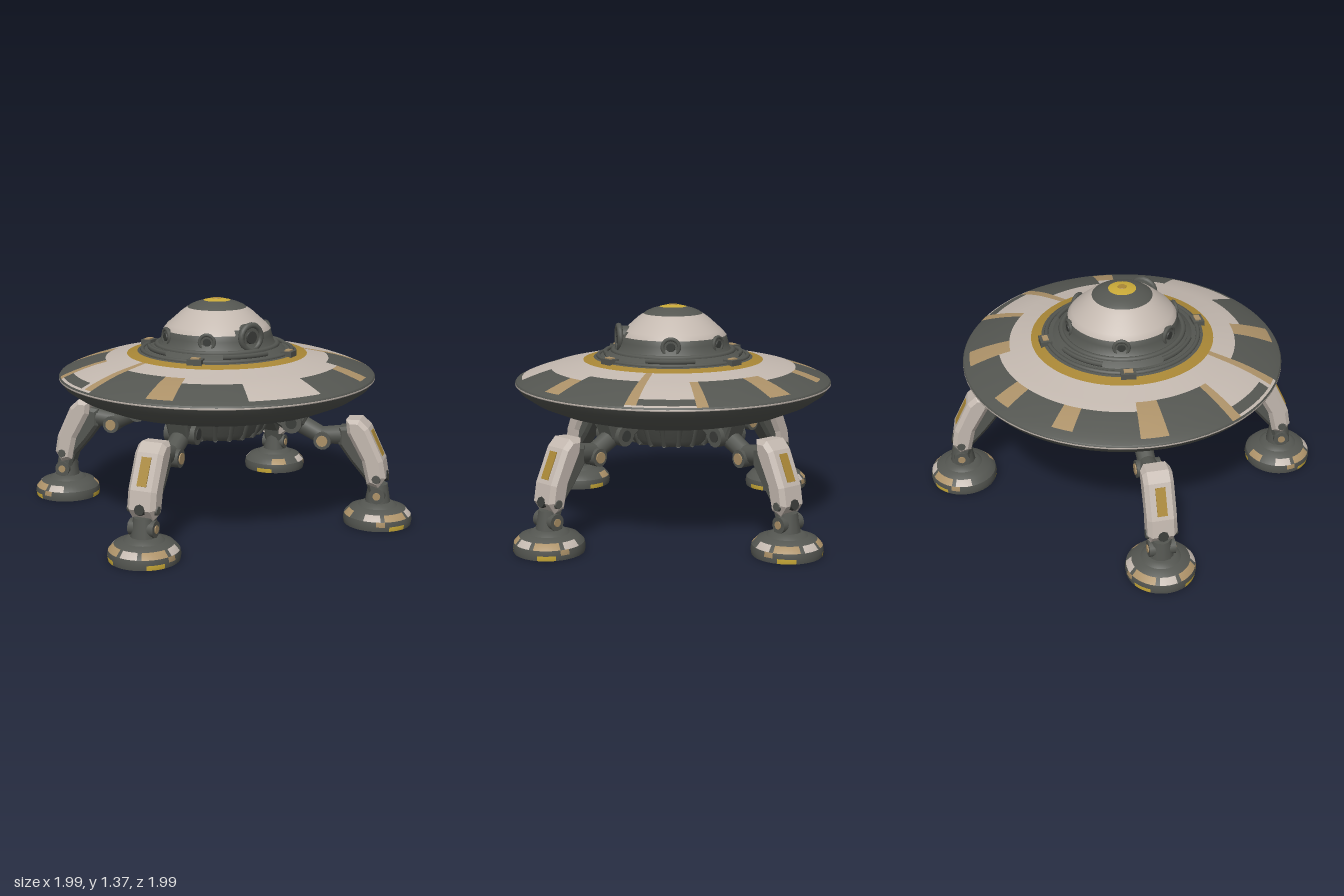
import * as THREE from 'three';

const mat = (name, color) => Object.assign(new THREE.MeshStandardMaterial({ color }), { name });
const DARK = mat('dark grey', 0x545651), WHITE = mat('worn white', 0xc3b8af), GOLD = mat('dull gold', 0xa98736);
const TAN = mat('tan', 0xac9168), YELLOW = mat('bright yellow', 0xcaaa38), BLACK = mat('deep grey', 0x3a3c39);
const PALETTE = [DARK, WHITE, GOLD, TAN, YELLOW, BLACK];

function add(parent, name, geometry, material, x = 0, y = 0, z = 0) {
  const mesh = new THREE.Mesh(geometry, material);
  mesh.name = name;
  mesh.position.set(x, y, z);
  parent.add(mesh);
  return mesh;
}

// Lathe whose cells take a colour from rule(radius, height, degrees); repeated points make a crease
function paintedLathe(parent, name, profile, segments, rule) {
  const geo = new THREE.LatheGeometry(profile.map(p => new THREE.Vector2(...p)), segments);
  const pos = geo.attributes.position, src = geo.index.array, buckets = PALETTE.map(() => []);
  for (let i = 0; i < src.length; i += 6) {
    let x = 0, y = 0, z = 0, r = 0;
    for (const k of [0, 1, 2, 3]) {
      const v = src[i + k];
      x += pos.getX(v) / 4; y += pos.getY(v) / 4; z += pos.getZ(v) / 4;
      r += Math.hypot(pos.getX(v), pos.getZ(v)) / 4;
    }
    const angle = (Math.atan2(z, x) * 180 / Math.PI + 360) % 360;
    buckets[PALETTE.indexOf(rule(r, y, angle))].push(...src.slice(i, i + 6));
  }
  geo.setIndex(buckets.flat());
  let start = 0;
  buckets.forEach((b, i) => { if (b.length) geo.addGroup(start, b.length, i); start += b.length; });
  return add(parent, name, geo, PALETTE);
}

// Cylinder between two points
function strut(parent, name, a, b, r0, r1, material, sides = 12) {
  const p = new THREE.Vector3(...a), q = new THREE.Vector3(...b), d = q.clone().sub(p);
  const mesh = add(parent, name, new THREE.CylinderGeometry(r1, r0, d.length(), sides), material);
  mesh.position.copy(p).add(q).multiplyScalar(0.5);
  mesh.quaternion.setFromUnitVectors(new THREE.Vector3(0, 1, 0), d.normalize());
  return mesh;
}

// Bevelled plate with its outline in x and y, centred on z
function plate(parent, name, outline, width, bevel, material) {
  const geo = new THREE.ExtrudeGeometry(new THREE.Shape(outline.map(p => new THREE.Vector2(...p))), {
    depth: width - 2 * bevel, bevelEnabled: true, bevelThickness: bevel, bevelSize: bevel, bevelOffset: -bevel, bevelSegments: 1,
  });
  geo.translate(0, 0, bevel - width / 2);
  return add(parent, name, geo, material);
}

// Painted panels of the saucer: from degrees, to degrees, inner radius, outer radius, colour
const PANELS = [
  [14, 76, 0.77, 1, DARK], [104, 164, 0.77, 1, DARK], [194, 346, 0.77, 1, DARK],
  [14, 42, 0.7, 1, DARK], [140, 164, 0.7, 1, DARK], [194, 218, 0.7, 1, DARK], [322, 346, 0.7, 1, DARK],
  [76, 104, 0.95, 1, DARK], [0, 10, 0.91, 0.97, DARK], [350, 360, 0.91, 0.97, DARK], [170, 190, 0.91, 0.97, DARK],
  [10, 14, 0.56, 0.97, TAN], [164, 168, 0.56, 0.97, TAN], [190, 194, 0.7, 0.99, TAN], [346, 350, 0.7, 0.99, TAN],
  [42, 50, 0.77, 0.95, TAN], [130, 140, 0.7, 0.95, TAN], [218, 228, 0.7, 0.95, TAN], [312, 322, 0.7, 0.95, TAN],
  [252, 260, 0.77, 0.93, TAN], [280, 288, 0.77, 0.93, TAN],
];

function buildHull(g) {
  const top = [[0.985, 0.898], [0.97, 0.906], [0.95, 0.915], [0.93, 0.923], [0.91, 0.931], [0.84, 0.956], [0.77, 0.977],
    [0.7, 0.993], [0.565, 1.02], [0.5, 1.036], [0.5, 1.036], [0.46, 1.045], [0.4, 1.05]];
  paintedLathe(g, 'saucerTop', top, 180, (r, y, a) => {
    if (r < 0.5) return DARK;
    if (r < 0.565) return GOLD;
    const hit = PANELS.filter(p => a > p[0] && a < p[1] && r > p[2] && r < p[3]).pop();
    return hit ? hit[4] : WHITE;
  });
  const under = [[0.34, 0.69], [0.5, 0.68], [0.62, 0.69], [0.75, 0.725], [0.88, 0.78], [0.96, 0.835], [0.985, 0.87],
    [0.985, 0.87], [0.993, 0.878], [0.993, 0.888], [0.985, 0.898]];
  paintedLathe(g, 'saucerUnderside', under, 72, (r, y) => (y > 0.88 && y < 0.886 ? WHITE : DARK));

  // Belly bowl with ribs
  const belly = [[0, 0.49], [0.18, 0.49], [0.27, 0.51], [0.31, 0.55], [0.345, 0.64], [0.38, 0.69]];
  paintedLathe(g, 'belly', belly, 32, () => DARK);
  for (let i = 0; i < 20; i++) {
    const a = (i + 0.5) / 20 * Math.PI * 2, at = (r, y) => [r * Math.cos(a), y, r * Math.sin(a)];
    strut(g, 'bellyRib', at(0.17, 0.495), at(0.285, 0.52), 0.012, 0.016, DARK, 6);
    strut(g, 'bellyRib', at(0.285, 0.52), at(0.365, 0.68), 0.016, 0.018, DARK, 6);
  }
  const ring = add(g, 'bellyRing', new THREE.TorusGeometry(0.15, 0.012, 6, 32), BLACK, 0, 0.492, 0);
  ring.rotation.x = Math.PI / 2;
}

function buildDome(g) {
  const dome = [[0.44, 1.04], [0.4, 1.07], [0.36, 1.09], [0.345, 1.14], [0.335, 1.175], [0.31, 1.205], [0.27, 1.24],
    [0.22, 1.285], [0.185, 1.308], [0.185, 1.308], [0.165, 1.322], [0.13, 1.337], [0.085, 1.35], [0.085, 1.35], [0.05, 1.358], [0.0, 1.362]];
  paintedLathe(g, 'dome', dome, 72, (r, y, a) => {
    if (r < 0.085) return YELLOW;
    if (r < 0.185 || y < 1.175) return DARK;
    return y < 1.21 && a > 60 && a < 96 ? DARK : WHITE;
  });
  add(g, 'capBoss', new THREE.CylinderGeometry(0.025, 0.03, 0.008, 10), GOLD, 0, 1.361, 0);

  // Deck rings around the dome
  for (const [r, t, y] of [[0.47, 0.014, 1.043], [0.375, 0.018, 1.075]]) {
    const ring = add(g, 'deckRing', new THREE.TorusGeometry(r, t, 8, 64), DARK, 0, y, 0);
    ring.rotation.x = Math.PI / 2;
  }

  // Large front porthole and smaller side ones
  for (const [deg, size] of [[78, 0.075], [125, 0.045], [180, 0.05], [235, 0.045], [305, 0.045], [0, 0.05]]) {
    const hold = new THREE.Group();
    hold.name = 'porthole';
    hold.rotation.y = -deg * Math.PI / 180;
    const rim = add(hold, 'portholeRim', new THREE.TorusGeometry(size, size * 0.25, 8, 20), DARK, 0.343, 1.14 + (size > 0.06 ? 0.02 : 0), 0);
    rim.rotation.y = Math.PI / 2;
    const y = rim.position.y;
    strut(hold, 'portholeBarrel', [0.28, y, 0], [0.348, y, 0], size, size, DARK, 20);
    strut(hold, 'portholeGlass', [0.34, y, 0], [0.355, y, 0], size * 0.6, size * 0.5, BLACK, 16);
    g.add(hold);
  }

  // Deck lights on the diagonals and curved rails on the sides
  for (const deg of [50, 130, 230, 310]) {
    const a = deg * Math.PI / 180, x = 0.485 * Math.cos(a), z = 0.485 * Math.sin(a);
    const base = add(g, 'lightBase', new THREE.BoxGeometry(0.07, 0.035, 0.09), DARK, x, 1.048, z);
    const lamp = add(g, 'deckLight', new THREE.BoxGeometry(0.035, 0.009, 0.055), TAN, x, 1.068, z);
    base.rotation.y = lamp.rotation.y = -a;
  }
  for (let k = 0; k < 4; k++) {
    const rail = add(g, 'deckRail', new THREE.TorusGeometry(0.425, 0.016, 6, 16, 0.7), DARK, 0, 1.066, 0);
    rail.rotation.set(Math.PI / 2, 0, k * Math.PI / 2 - 0.35);
  }
}

// One leg reaching along +x, reused on all four diagonals
function buildLeg() {
  const g = new THREE.Group();
  g.name = 'leg';
  const axle = (name, x, y, r, w, m) => strut(g, name, [x, y, -w / 2], [x, y, w / 2], r, r, m, 14);

  // Hip and upper arm
  plate(g, 'hipBracket', [[0.36, 0.7], [0.36, 0.62], [0.46, 0.56], [0.58, 0.6], [0.62, 0.7]], 0.14, 0.015, DARK);
  axle('hipAxle', 0.51, 0.615, 0.065, 0.2, DARK);
  axle('hipCap', 0.51, 0.615, 0.035, 0.212, BLACK);
  strut(g, 'upperArm', [0.5, 0.62, 0], [0.7, 0.52, 0], 0.06, 0.055, DARK);
  axle('elbow', 0.7, 0.51, 0.055, 0.15, DARK);
  axle('elbowCap', 0.7, 0.51, 0.035, 0.164, TAN);
  strut(g, 'forearm', [0.68, 0.53, 0], [0.88, 0.55, 0], 0.055, 0.065, DARK);

  // Shin core and white armour
  plate(g, 'shin', [[0.8, 0.6], [0.93, 0.62], [1.05, 0.3], [1.085, 0.2], [1.0, 0.19], [0.97, 0.28], [0.875, 0.39], [0.8, 0.49]], 0.13, 0.02, DARK);
  plate(g, 'shinArmour', [[0.845, 0.655], [0.93, 0.66], [0.985, 0.61], [1.08, 0.41], [1.1, 0.3], [1.055, 0.235], [0.985, 0.255], [0.95, 0.4], [0.855, 0.57]], 0.18, 0.025, WHITE);
  const stripe = add(g, 'armourStripe', new THREE.BoxGeometry(0.009, 0.17, 0.06), GOLD, 1.033, 0.51, 0);
  stripe.rotation.z = Math.atan2(0.095, 0.2);
  strut(g, 'armourBolt', [1.08, 0.3, 0], [1.105, 0.305, 0], 0.035, 0.032, BLACK, 8);
  for (const s of [-1, 1]) strut(g, 'sideBolt', [1.045, 0.295, s * 0.08], [1.045, 0.295, s * 0.096], 0.03, 0.026, DARK, 8);

  // Ankle and round foot
  strut(g, 'anklePost', [1.045, 0.1, 0], [1.045, 0.25, 0], 0.085, 0.06, DARK);
  axle('ankleAxle', 1.05, 0.185, 0.05, 0.16, DARK);
  axle('ankleCap', 1.05, 0.185, 0.024, 0.172, TAN);
  const footProfile = [[0, 0], [0.208, 0], [0.208, 0], [0.213, 0.03], [0.207, 0.06], [0.207, 0.06], [0.175, 0.095],
    [0.12, 0.112], [0.12, 0.112], [0.09, 0.135], [0, 0.14]];
  const foot = paintedLathe(g, 'foot', footProfile, 48, (r, y, a) => {
    const near = (deg, half) => Math.abs((a - deg + 540) % 360 - 180) < half;
    if (r > 0.2 && y < 0.03) return near(45, 18) || near(315, 18) || near(180, 12) ? YELLOW : DARK;
    if (r > 0.17 && y > 0.06) return near(45, 20) || near(315, 20) || near(150, 15) ? TAN : near(0, 14) || near(90, 14) || near(270, 14) ? WHITE : DARK;
    if (r > 0.2) return near(75, 10) || near(285, 10) ? TAN : DARK;
    return DARK;
  });
  foot.position.x = 1.045;
  return g;
}

export function createModel() {
  const model = new THREE.Group();
  model.name = 'saucerLander';
  buildHull(model);
  buildDome(model);
  const names = ['frontLeftLeg', 'backLeftLeg', 'frontRightLeg', 'backRightLeg'];
  [[1, 1], [1, -1], [-1, 1], [-1, -1]].forEach(([sx, sz], i) => {
    const leg = buildLeg();
    leg.name = names[i];
    leg.rotation.y = Math.atan2(-sz * 0.695, sx * 0.78);
    model.add(leg);
  });
  return model;
}
